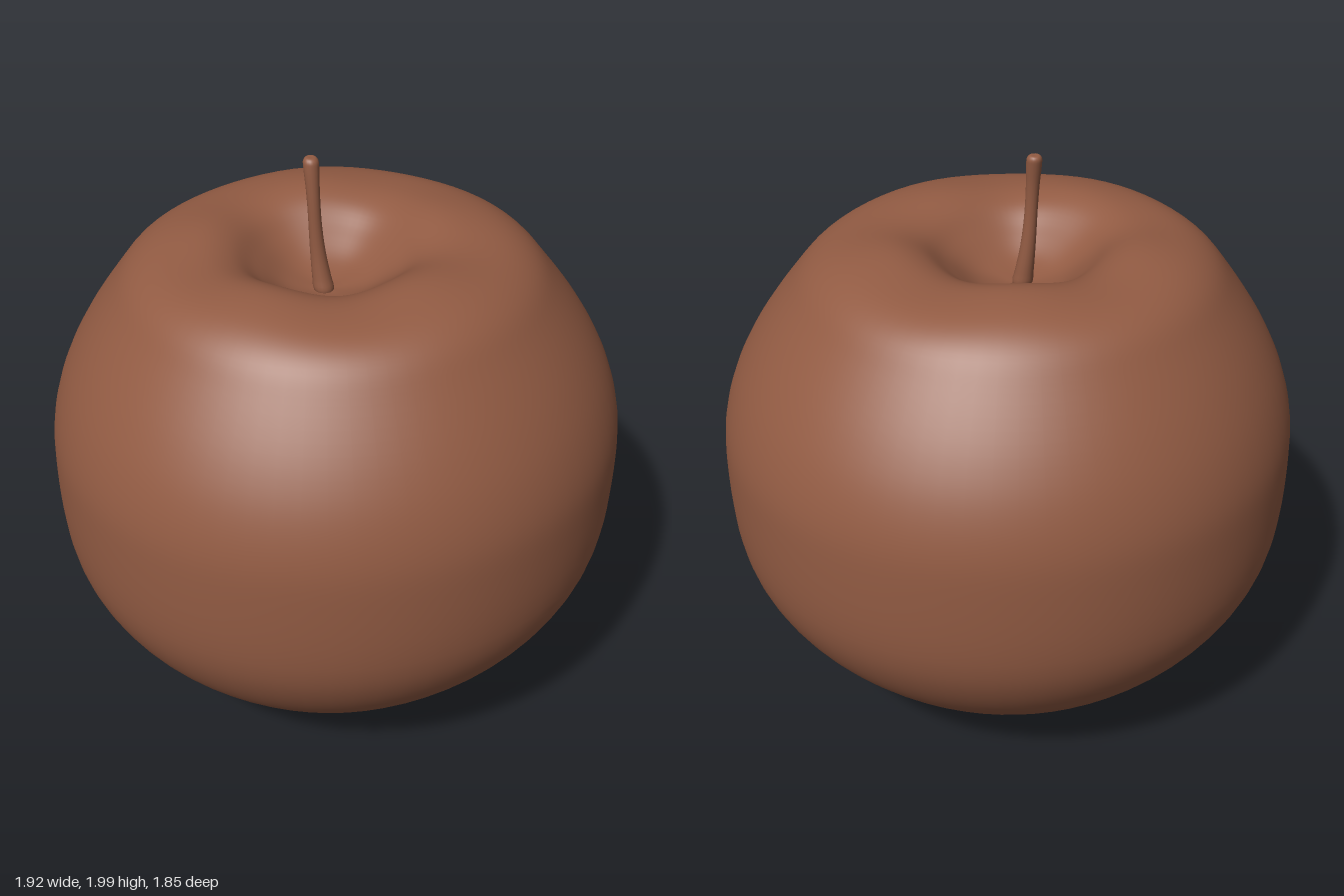
import * as THREE from 'three';
import { mergeVertices } from 'three/addons/utils/BufferGeometryUtils.js';

// Revolve a smooth profile of [radius, height], then move each vertex by a rule
function turned(profile, steps, sides, rule) {
  const curve = new THREE.CatmullRomCurve3(
    profile.map(([r, y]) => new THREE.Vector3(r, y, 0)), false, 'centripetal');
  const pts = curve.getPoints(steps).map(p => new THREE.Vector2(Math.max(0, p.x), p.y));
  pts[0].x = pts[pts.length - 1].x = 0;
  let geo = new THREE.LatheGeometry(pts, sides);
  geo.deleteAttribute('uv');
  geo.deleteAttribute('normal');
  geo = mergeVertices(geo, 1e-5);
  const pos = geo.attributes.position;
  const v = new THREE.Vector3();
  for (let i = 0; i < pos.count; i++) {
    rule(v.fromBufferAttribute(pos, i));
    pos.setXYZ(i, v.x, v.y, v.z);
  }
  geo.computeVertexNormals();
  return geo;
}

export function createModel() {
  const group = new THREE.Group();
  const brown = new THREE.MeshStandardMaterial({ color: 0x925b43 });
  brown.name = 'russet brown';

  // Fruit body: pointed hollow below, round sides, broad rim and stem hollow
  const bodyProfile = [
    [0, 0.13], [0.07, 0.085], [0.14, 0.03], [0.21, 0.01], [0.30, 0.025],
    [0.44, 0.09], [0.60, 0.20], [0.80, 0.40], [0.90, 0.56], [0.945, 0.71],
    [0.96, 0.98], [0.95, 1.12], [0.91, 1.26], [0.84, 1.40], [0.73, 1.56],
    [0.66, 1.645], [0.59, 1.69], [0.50, 1.715], [0.39, 1.72], [0.31, 1.695],
    [0.23, 1.635], [0.14, 1.575], [0.06, 1.55], [0, 1.545],
  ];
  const body = new THREE.Mesh(turned(bodyProfile, 120, 72, v => {
    const r = Math.hypot(v.x, v.z);
    const a = Math.atan2(v.z, v.x);
    // Gentle lobes around the two rims
    const lobe = Math.cos(5 * a + 0.6) * Math.exp(-(((r - 0.4) / 0.2) ** 2));
    v.y += lobe * (v.y > 1 ? 0.01 : 0.006);
    // Hollows sit a little to one side, and the depth is slightly flattened
    v.x -= 0.04 * (1 - r / 0.96);
    v.z = v.z * 0.965 - 0.005;
  }), brown);
  body.name = 'fruitBody';
  group.add(body);

  // Stem: slim, flared at both ends and leaning
  const stemProfile = [
    [0, 1.53], [0.02, 1.533], [0.033, 1.55], [0.031, 1.59], [0.025, 1.68], [0.021, 1.80],
    [0.022, 1.90], [0.025, 1.97], [0.024, 1.99], [0.016, 2.0], [0, 2.0],
  ];
  const stem = new THREE.Mesh(turned(stemProfile, 40, 16, v => {
    const t = (v.y - 1.53) / 0.47;
    v.x += -0.045 - 0.032 * t - 0.008 * Math.sin(t * Math.PI);
    v.z += 0.005 - 0.037 * t - 0.006 * Math.sin(t * Math.PI * 2);
  }), brown);
  stem.name = 'stem';
  group.add(stem);

  return group;
}
